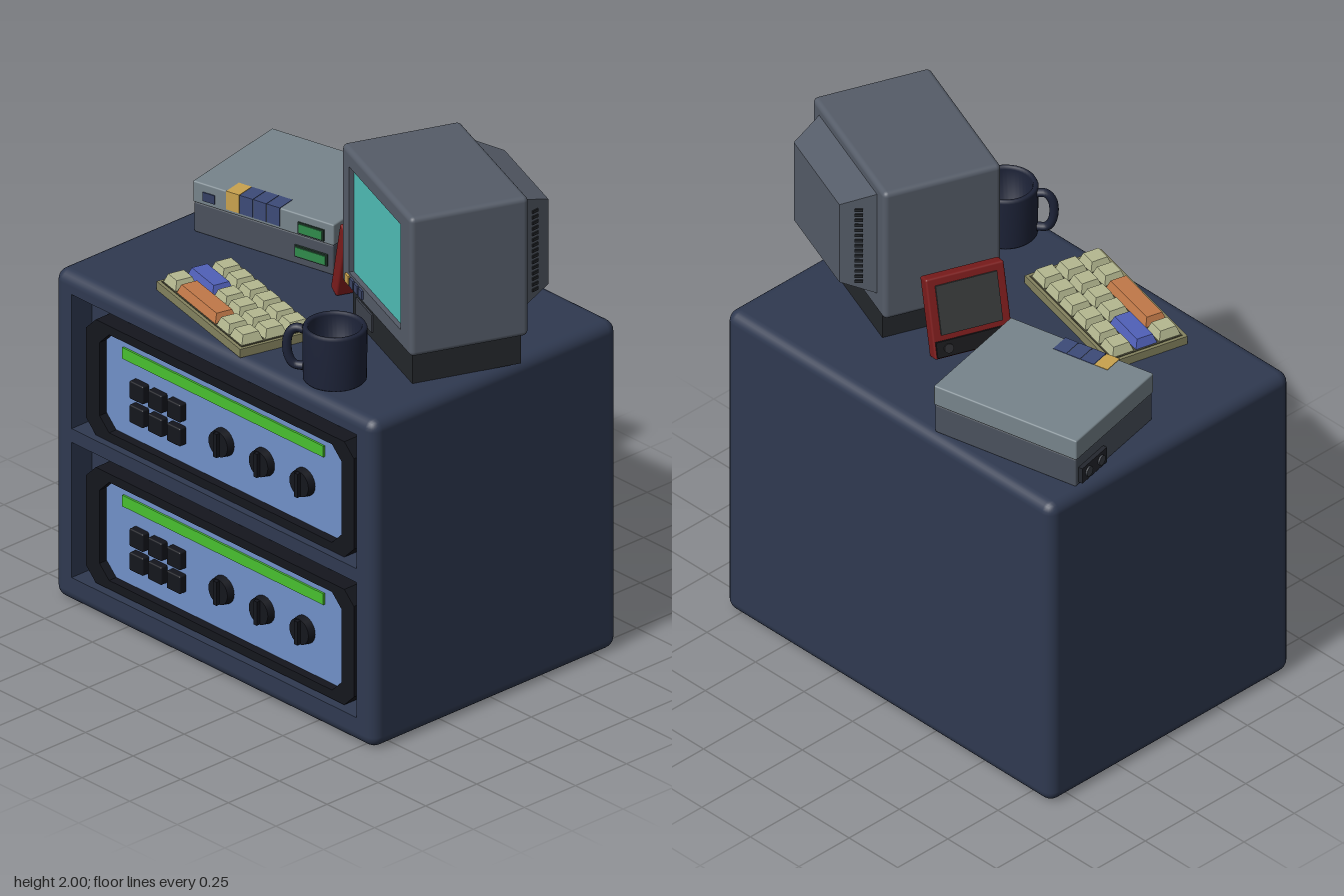
import * as THREE from 'three';
import { RoundedBoxGeometry } from 'three/addons/geometries/RoundedBoxGeometry.js';

const materials = {};
const mat = (c) => (materials[c] ??= new THREE.MeshStandardMaterial({ color: c }));

function add(parent, name, geometry, color, x = 0, y = 0, z = 0) {
  const mesh = new THREE.Mesh(geometry, mat(color));
  mesh.name = name;
  mesh.position.set(x, y, z);
  parent.add(mesh);
  return mesh;
}
const box = (w, h, d) => new THREE.BoxGeometry(w, h, d);
const rounded = (w, h, d, r) => new RoundedBoxGeometry(w, h, d, 3, r);

function subGroup(parent, name, x, y, z, turn = 0) {
  const g = new THREE.Group();
  g.name = name;
  g.position.set(x, y, z);
  g.rotation.y = turn;
  parent.add(g);
  return g;
}

// Box whose top is scaled by sx, sz
function frustum(w, h, d, sx, sz) {
  const g = box(w, h, d), p = g.attributes.position;
  for (let i = 0; i < p.count; i++)
    if (p.getY(i) > 0) p.setXYZ(i, p.getX(i) * sx, p.getY(i), p.getZ(i) * sz);
  g.computeVertexNormals();
  return g;
}

// Rectangle with cut corners
function outline(x0, x1, y0, y1, c = 0, Type = THREE.Shape) {
  const pts = c
    ? [[x0 + c, y0], [x1 - c, y0], [x1, y0 + c], [x1, y1 - c], [x1 - c, y1], [x0 + c, y1], [x0, y1 - c], [x0, y0 + c]]
    : [[x0, y0], [x1, y0], [x1, y1], [x0, y1]];
  return new Type(pts.map(([x, y]) => new THREE.Vector2(x, y)));
}
const extrude = (shape, depth) => new THREE.ExtrudeGeometry(shape, { depth, bevelEnabled: false });

// Rounded box whose flat front is replaced by a frame with sunken openings
function recessedBox(parent, name, w, h, d, r, holes, depth, color, floorColor) {
  const shell = rounded(w, h, d, r);
  const kept = { position: [], normal: [] }, p = shell.attributes.position;
  for (let i = 0; i < p.count; i += 3) {
    if ([0, 1, 2].every((k) => p.getZ(i + k) > d / 2 - 1e-5)) continue;
    for (const key in kept) kept[key].push(...shell.attributes[key].array.slice(i * 3, i * 3 + 9));
  }
  const open = new THREE.BufferGeometry();
  for (const key in kept) open.setAttribute(key, new THREE.Float32BufferAttribute(kept[key], 3));
  add(parent, name + 'Shell', open, color);
  const frame = outline(-w / 2 + r, w / 2 - r, -h / 2 + r, h / 2 - r);
  frame.holes = holes.map((b) => outline(...b, 0, THREE.Path));
  add(parent, name + 'Front', extrude(frame, depth), color, 0, 0, d / 2 - depth);
  for (const b of holes)
    add(parent, name + 'RecessFloor', new THREE.ShapeGeometry(outline(...b)), floorColor, 0, 0, d / 2 - depth + 0.001);
}

// Rack unit with display strip, push buttons and knobs
function rackUnit(parent, y) {
  const g = subGroup(parent, 'rackUnit', 0, y, 0);
  const BLACK = 0x14161d;
  const frame = outline(-0.725, 0.68, -0.215, 0.25, 0.05);
  frame.holes = [outline(-0.655, 0.615, -0.18, 0.215, 0.05, THREE.Path)];
  add(g, 'unitFrame', extrude(frame, 0.075), BLACK, 0, 0, 0.495);
  add(g, 'unitPanel', extrude(outline(-0.66, 0.62, -0.185, 0.22, 0.05), 0.04), 0x7090c8, 0, 0, 0.495);
  add(g, 'displayStrip', box(1.055, 0.045, 0.012), 0x48c030, -0.0375, 0.147, 0.537);
  for (const x of [-0.47, -0.373, -0.275])
    for (const by of [0.03, -0.066]) add(g, 'pushButton', rounded(0.072, 0.072, 0.04, 0.006), BLACK, x, by, 0.545);
  for (const x of [-0.04, 0.172, 0.385]) {
    add(g, 'knob', new THREE.CylinderGeometry(0.05, 0.055, 0.03, 24), BLACK, x, -0.015, 0.549).rotation.x = Math.PI / 2;
    add(g, 'knobGrip', box(0.018, 0.095, 0.02), BLACK, x, -0.015, 0.57);
  }
}

function buildMonitor(root) {
  const g = subGroup(root, 'monitor', 0.475, 0, -0.02, -0.361);
  const GREY = 0x555c68, DARK = 0x24272b;
  const body = subGroup(g, 'monitorBody', 0, 1.72, 0);
  recessedBox(body, 'monitor', 0.652, 0.56, 0.459, 0.02, [[-0.256, 0.232, -0.21, 0.215]], 0.02, GREY, 0x50bfb8);
  // tapered tube housing with vent slots on both sides
  add(g, 'rearHousing', frustum(0.525, 0.125, 0.44, 0.785, 0.78), GREY, 0, 1.74, -0.29).rotation.x = -Math.PI / 2;
  for (const s of [-1, 1])
    for (let i = 0; i < 15; i++) {
      const slot = add(g, 'ventSlot', box(0.008, 0.011, 0.03), DARK, s * 0.236, 1.575 + i * 0.0225, -0.289);
      slot.rotation.y = s * 0.42;
    }
  [0xc9a24e, 0x3c4668, 0x3c4668, 0x3c4668].forEach((c, i) =>
    add(g, 'bezelButton', box(0.032, 0.034, 0.012), c, -0.26 + i * 0.042, 1.482, 0.232));
  // stand
  add(g, 'monitorStand', box(0.56, 0.125, 0.42), DARK, 0.015, 1.382, 0);
  add(g, 'standSlot', box(0.15, 0.07, 0.012), 0x3e424c, -0.15, 1.385, 0.211);

  // tablet leaning on the side of the monitor
  const t = subGroup(g, 'tablet', -0.488, 1.336, 0.053);
  t.rotation.z = -0.29;
  add(t, 'tabletCase', rounded(0.055, 0.31, 0.306, 0.008), 0x7c1c1c, 0.0275, 0.155, 0);
  add(t, 'tabletScreen', box(0.01, 0.19, 0.24), 0x383a3a, -0.002, 0.185, 0);
  add(t, 'tabletKeypad', box(0.016, 0.06, 0.29), 0x1a1a1c, -0.001, 0.038, 0);
  for (const z of [-0.1, 0.1])
    add(t, 'tabletButton', new THREE.CylinderGeometry(0.018, 0.018, 0.012, 16), 0x2c2c30, -0.01, 0.038, z).rotation.z = Math.PI / 2;
}

function buildKeyboard(root) {
  const g = subGroup(root, 'keyboard', -0.15, 1.32, 0.368, -0.239);
  const BASE = 0x85835f, KEY = 0xb4b890;
  add(g, 'keyboardBase', box(0.612, 0.034, 0.318), BASE, 0, 0.017, 0);
  add(g, 'keyWell', box(0.586, 0.004, 0.292), 0x4c4b38, 0, 0.0345, 0);
  // each row lists key widths in units
  const rows = [[1, 1, 1, 1, 1, 1], [2, 1, 1, 1, 1], [1, 3, 1, 1]];
  rows.forEach((row, r) => {
    let col = 0;
    for (const n of row) {
      const w = n * 0.097 - 0.008;
      const color = n === 2 ? 0x5060b8 : n === 3 ? 0xc07848 : KEY;
      add(g, 'key', frustum(w, 0.036, 0.089, (w - 0.026) / w, 0.72), color, (col + n / 2 - 3) * 0.097, 0.053, (r - 1) * 0.097);
      col += n;
    }
  });
}

function buildComputer(root) {
  const g = subGroup(root, 'desktopUnit', -0.483, 1.32, -0.265, 0.215);
  add(g, 'lowerCase', rounded(0.606, 0.12, 0.494, 0.006), 0x4a515c, 0, 0.06, 0);
  add(g, 'upperCase', rounded(0.614, 0.085, 0.5, 0.006), 0x77848b, 0, 0.1625, 0);
  // coloured tabs wrapping the front top edge
  [0xc9a24e, 0x3c4a78, 0x3c4a78, 0x3c4a78].forEach((c, i) =>
    add(g, 'edgeTab', box(0.056, 0.074, 0.08), c, -0.131 + i * 0.059, 0.17, 0.213));
  add(g, 'smallPort', box(0.052, 0.035, 0.01), 0x343f62, -0.236, 0.155, 0.249);
  // green sockets with dark surrounds
  for (const [y, w] of [[0.152, 0.1], [0.055, 0.13]]) {
    add(g, 'socketFrame', box(w + 0.012, 0.046, 0.012), 0x22382c, 0.21, y, 0.249);
    add(g, 'socket', box(w, 0.034, 0.016), 0x2f8a4a, 0.21, y, 0.25);
  }
  add(g, 'sidePort', box(0.03, 0.065, 0.16), 0x24272e, -0.305, 0.045, -0.15);
  for (const z of [-0.19, -0.11])
    add(g, 'sidePlug', new THREE.CylinderGeometry(0.02, 0.02, 0.01, 12), 0x3a3e46, -0.322, 0.045, z).rotation.z = Math.PI / 2;
}

function buildMug(root) {
  const g = subGroup(root, 'mug', 0.457, 1.32, 0.455, Math.PI + 0.62);
  const NAVY = 0x1d2338;
  const profile = [[0, 0], [0.108, 0], [0.115, 0.008], [0.117, 0.205], [0.112, 0.215], [0.1, 0.215], [0.096, 0.205], [0.094, 0.025], [0, 0.02]];
  add(g, 'mugBody', new THREE.LatheGeometry(profile.map(([x, y]) => new THREE.Vector2(x, y)), 40), NAVY);
  const path = new THREE.CatmullRomCurve3(
    [[0.105, 0.185], [0.145, 0.19], [0.17, 0.16], [0.172, 0.085], [0.15, 0.045], [0.105, 0.04]].map(([x, y]) => new THREE.Vector3(x, y, 0)));
  add(g, 'mugHandle', new THREE.TubeGeometry(path, 30, 0.017, 10), NAVY);
}

export function createModel() {
  const root = new THREE.Group();
  root.name = 'rackCabinetWithDesktop';
  // cabinet with two equipment bays
  const cabinet = subGroup(root, 'cabinet', -0.025, 0.66, 0);
  const bays = [[-0.745, 0.75, 0.045, 0.585], [-0.745, 0.75, -0.555, -0.01]];
  recessedBox(cabinet, 'cabinet', 1.68, 1.32, 1.2, 0.045, bays, 0.1, 0x2f3950, 0x2f3950);
  for (const y of [0.92, 0.325]) rackUnit(root, y);
  buildMonitor(root);
  buildKeyboard(root);
  buildComputer(root);
  buildMug(root);
  return root;
}
